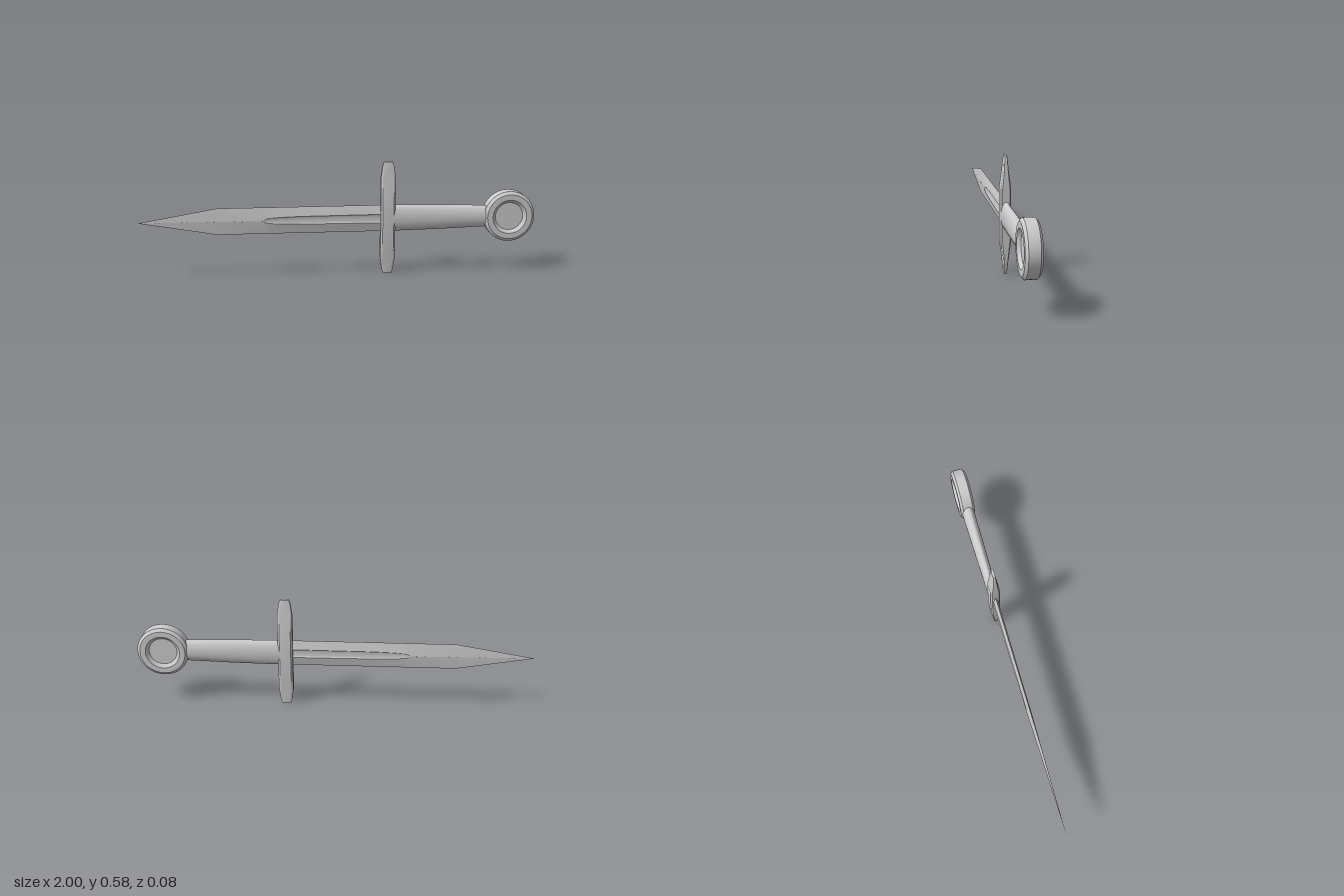
import * as THREE from 'three';
import { toCreasedNormals } from 'three/addons/utils/BufferGeometryUtils.js';

const MID = 0.29; // height of the dagger's long axis

// Skin a list of rings (equal point counts, counter-clockwise seen from the far end) and cap both ends.
function loft(rings, crease) {
  const n = rings[0].length, last = (rings.length - 1) * n, index = [];
  for (let i = 0; i < rings.length - 1; i++) {
    for (let j = 0; j < n; j++) {
      const a = i * n + j, b = i * n + (j + 1) % n;
      index.push(a, b, b + n, a, b + n, a + n);
    }
  }
  for (let j = 1; j < n - 1; j++) {
    index.push(0, j + 1, j, last, last + j, last + j + 1);
  }
  const geometry = new THREE.BufferGeometry();
  geometry.setAttribute('position', new THREE.Float32BufferAttribute(rings.flat(2), 3));
  geometry.setIndex(index);
  return toCreasedNormals(geometry, crease);
}

// Diamond blade section with a round fuller of half width l sunk into both faces.
function bladeRing([x, halfWidth, ridge, l]) {
  const groove = [[1, 0], [0.8, 0.6], [0.45, 0.9], [0, 1], [-0.45, 0.9], [-0.8, 0.6], [-1, 0]];
  const lip = ridge * (1 - l / halfWidth);
  const depth = Math.min(0.3 * l, 0.006);
  const front = [[halfWidth, 0], ...groove.map(([k, d]) => [k * l, lip - d * depth])];
  return [...front, ...front.map(([y, z]) => [-y, -z])].map(([y, z]) => [x, y, z]);
}

// Elliptical grip section.
function gripRing([x, ry, rz]) {
  return Array.from({ length: 32 }, (_, i) => {
    const a = (i / 32) * Math.PI * 2;
    return [x, ry * Math.cos(a), rz * Math.sin(a)];
  });
}

// Guard section: rectangle with bevelled corners.
function guardRing([y, hx, hz]) {
  const cx = hx - 0.009, cz = hz * 0.7;
  return [[hz, -cx], [hz, cx], [cz, hx], [-cz, hx], [-hz, cx], [-hz, -cx], [-cz, -hx], [cz, -hx]]
    .map(([z, x]) => [x, y, z]);
}

export function createModel() {
  const group = new THREE.Group();
  const material = new THREE.MeshStandardMaterial({ color: 0xcccccc });
  const add = (name, geometry, x = 0) => {
    const mesh = new THREE.Mesh(geometry, material);
    mesh.name = name;
    mesh.position.set(x, MID, 0);
    group.add(mesh);
  };

  // Blade: x, half width, ridge height, fuller half width
  add('blade', loft([
    [-1, 0.0004, 0.0002, 0.0001],
    [-0.61, 0.068, 0.007, 0.0004],
    [-0.38, 0.068, 0.012, 0.0004],
    [-0.372, 0.068, 0.0122, 0.008],
    [-0.35, 0.068, 0.0125, 0.013],
    [-0.3, 0.068, 0.0135, 0.017],
    [-0.2, 0.068, 0.0145, 0.02],
    [0.25, 0.068, 0.018, 0.022],
  ].map(bladeRing), 0.25));

  // Crossguard, thinning towards both ends
  add('guard', loft([
    [-0.29, 0.022, 0.007],
    [-0.27, 0.029, 0.0085],
    [-0.21, 0.037, 0.0135],
    [-0.13, 0.037, 0.025],
    [0.13, 0.037, 0.025],
    [0.21, 0.037, 0.0135],
    [0.27, 0.029, 0.0085],
    [0.29, 0.022, 0.007],
  ].map(guardRing), 0.35), 0.248);

  // Grip: narrower but thicker towards the pommel
  add('grip', loft([
    [0.25, 0.068, 0.024],
    [0.5, 0.064, 0.029],
    [0.775, 0.055, 0.033],
  ].map(gripRing), 0.6));

  // Disc pommel with bevelled rim and a dished recess on each face
  const half = [[0.13, 0.026], [0.115, 0.038], [0.087, 0.038], [0.071, 0.022], [0, 0.022]];
  const profile = [...half.map(([r, z]) => [r, -z]).reverse(), ...half]
    .map(([r, z]) => new THREE.Vector2(r, z));
  const disc = new THREE.LatheGeometry(profile, 48).rotateX(Math.PI / 2);
  add('pommel', toCreasedNormals(disc, 0.4), 0.87);

  return group;
}
